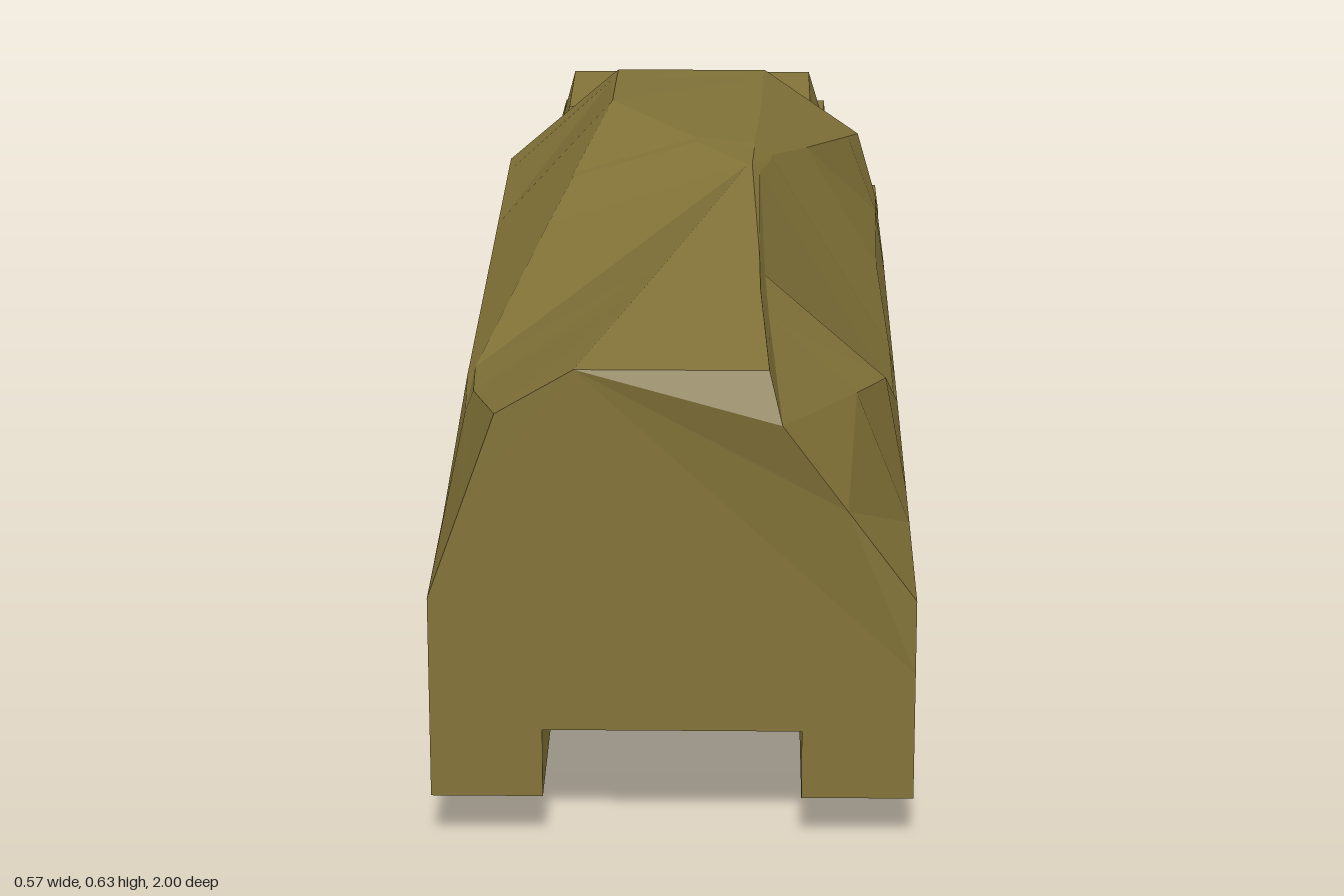
import * as THREE from 'three';

const olive = new THREE.MeshStandardMaterial({ color: 0x827338 });
olive.name = 'olive paint';

function addMesh(parent, name, geometry) {
  const g = geometry.index ? geometry.toNonIndexed() : geometry;
  g.computeVertexNormals(); // unshared corners give flat facets
  const mesh = new THREE.Mesh(g, olive);
  mesh.name = name;
  parent.add(mesh);
}

// Closed solid from rings of [x, y, dz], counter-clockwise seen from +z, z ascending
function loft(sections) {
  const pos = [], idx = [], n = sections[0].ring.length;
  for (const { z, ring } of sections) for (const [x, y, dz = 0] of ring) pos.push(x, y, z + dz);
  for (let s = 0; s < sections.length - 1; s++) {
    for (let j = 0; j < n; j++) {
      const a = s * n + j, b = s * n + (j + 1) % n;
      idx.push(a, b, b + n, a, b + n, a + n);
    }
  }
  const cap = (s, flip) => {
    const pts = sections[s].ring.map(([x, y]) => new THREE.Vector2(x, y));
    for (const [a, b, c] of THREE.ShapeUtils.triangulateShape(pts, [])) {
      const o = s * n;
      idx.push(o + a, o + (flip ? c : b), o + (flip ? b : c));
    }
  };
  cap(0, true);
  cap(sections.length - 1, false);
  const g = new THREE.BufferGeometry();
  g.setAttribute('position', new THREE.Float32BufferAttribute(pos, 3));
  g.setIndex(idx);
  return g;
}

// Side profile of [z, y] points, extruded between two x positions
function sideSlab(points, x0, x1) {
  const shape = new THREE.Shape(points.map(([z, y]) => new THREE.Vector2(z, y)));
  const g = new THREE.ExtrudeGeometry(shape, { depth: x1 - x0, bevelEnabled: false });
  return g.rotateY(-Math.PI / 2).translate(x1, 0, 0);
}

// Cargo body section: outer, inner-edge and centre floor heights, recess depth,
// then the upper corners going up the +x side and down the -x side
function bodySection(z, [outer, edge, centre], recess, upper) {
  const midY = recess ? 0.2 : Math.max(outer, 0.2) + 0.02;
  return {
    z,
    ring: [
      [-0.15, centre], [0.15, centre], [0.15, edge], [0.28, outer],
      [0.28 - recess, midY], [0.28, 0.285], [0.28, 0.31],
      ...upper, [-0.28, 0.31], [-0.28, outer], [-0.15, edge],
    ],
  };
}

// Cab section: floor height, belt line and top edge
function cabSection(z, floor, beltW, beltY, topW, topY) {
  return {
    z,
    ring: [[-beltW, floor], [beltW, floor], [beltW, beltY], [topW, topY], [-topW, topY], [-beltW, beltY]],
  };
}

export function createModel() {
  const truck = new THREE.Group();
  truck.name = 'truck';

  // Cargo body with faceted roof, wheel arches, tail notch and a side recess on +x
  const flat = [0.063, 0.063, 0.063];
  const shoulder = [[0.273, 0.342], [0.115, 0.607], [0.093, 0.624], [0.018, 0.63], [-0.143, 0.582], [-0.255, 0.455]];
  addMesh(truck, 'cargoBody', loft([
    bodySection(-0.315, flat, 0,
      [[0.268, 0.4], [0.241, 0.495], [0.108, 0.588], [-0.1, 0.588], [-0.11, 0.58], [-0.255, 0.455]]),
    bodySection(-0.25, flat, 0.08,
      [[0.266, 0.4], [0.225, 0.509], [0.106, 0.593], [-0.1, 0.597], [-0.108, 0.59], [-0.255, 0.455]]),
    bodySection(0, flat, 0.08,
      [[0.26, 0.4], [0.163, 0.565], [0.1, 0.61], [-0.098, 0.63], [-0.1, 0.628], [-0.255, 0.455]]),
    bodySection(0.18, flat, 0.08, shoulder),
    bodySection(0.181, flat, 0, shoulder),
    bodySection(0.2, flat, 0, shoulder),
    bodySection(0.3, [0.245, 0.18, 0.17], 0,
      [[0.275, 0.32], [0.1, 0.62], [0.09, 0.63], [0.085, 0.63], [-0.171, 0.549], [-0.255, 0.455]]),
    bodySection(0.62, [0.245, 0.18, 0.16], 0,
      [[0.253, 0.455], [0.106, 0.585], [0.099, 0.61], [-0.006, 0.61], [-0.245, 0.466], [-0.255, 0.455]]),
    bodySection(0.73, [0.063, 0.063, 0.147], 0,
      [[0.215, 0.475], [0.11, 0.57], [0.1, 0.604], [-0.038, 0.603], [-0.24, 0.475], [-0.25, 0.45]]),
    bodySection(0.975, [0.063, 0.063, 0.147], 0,
      [[0.2, 0.423, 0.01], [0.125, 0.53, 0.022], [0.11, 0.588], [-0.11, 0.588], [-0.2, 0.535], [-0.24, 0.422]]),
  ]));

  // Cab with windscreen slope and bonnet
  addMesh(truck, 'cab', loft([
    cabSection(-0.985, 0.2, 0.205, 0.31, 0.2, 0.345),
    cabSection(-0.975, 0.2, 0.21, 0.31, 0.205, 0.36),
    cabSection(-0.705, 0.165, 0.22, 0.335, 0.2, 0.395),
    cabSection(-0.62, 0.165, 0.22, 0.335, 0.175, 0.503),
    cabSection(-0.415, 0.165, 0.22, 0.335, 0.175, 0.505),
    cabSection(-0.385, 0.165, 0.22, 0.335, 0.21, 0.345),
  ]));

  // Chassis plate running from the cargo body under the cab
  addMesh(truck, 'chassis', new THREE.BoxGeometry(0.38, 0.01, 0.62).translate(0, 0.122, -0.62));

  // Wedge bumper and lower grille bar
  const bumper = [[-1, 0.15], [-0.975, 0.11], [-0.985, 0.15], [-0.975, 0.185]];
  addMesh(truck, 'bumper', sideSlab(bumper, -0.25, 0.25));
  addMesh(truck, 'grilleBar', new THREE.BoxGeometry(0.42, 0.02, 0.02).translate(0, 0.2, -0.975));

  // Paired wings and side tanks at the cab
  const wing = [[-0.97, 0.195], [-0.92, 0.18], [-0.8, 0.18], [-0.71, 0.13], [-0.67, 0.105],
    [-0.71, 0.2], [-0.76, 0.243], [-0.925, 0.235]];
  for (const side of [-1, 1]) {
    const label = side > 0 ? 'left' : 'right';
    addMesh(truck, label + 'Wing', sideSlab(wing, side > 0 ? 0.19 : -0.287, side > 0 ? 0.287 : -0.19));
    const tank = [[0.15, 0.07], [0.205, 0.07], [0.238, 0.135], [0.238, 0.165], [0.15, 0.165]]
      .map(([x, y]) => [side * x, y]);
    if (side < 0) tank.reverse();
    addMesh(truck, label + 'SideTank', loft([{ z: -0.635, ring: tank }, { z: -0.412, ring: tank }]));
  }

  // Remaining front wheel
  addMesh(truck, 'rightFrontWheel', sideSlab([[-0.93, 0.08], [-0.89, 0.002], [-0.77, 0.002],
    [-0.705, 0.1], [-0.76, 0.13], [-0.82, 0.17], [-0.91, 0.14]], -0.275, -0.19));

  // Broken tandem rear wheels
  addMesh(truck, 'leftMiddleWheel', sideSlab([[0.24, 0.12], [0.27, 0.1], [0.25, 0.035], [0.28, 0.002],
    [0.37, 0.002], [0.405, 0.02], [0.42, 0.09], [0.41, 0.165], [0.36, 0.19], [0.3, 0.18]], 0.145, 0.2));
  addMesh(truck, 'leftRearWheel', sideSlab([[0.68, 0.14], [0.68, 0.03], [0.64, 0.005], [0.53, 0.005],
    [0.63, 0.06], [0.57, 0.1], [0.43, 0.11], [0.62, 0.155]], 0.15, 0.255));
  addMesh(truck, 'rightMiddleWheel',
    sideSlab([[0.27, 0.002], [0.4, 0.002], [0.34, 0.2]], -0.275, -0.225));
  addMesh(truck, 'rightRearWheel',
    sideSlab([[0.47, 0.15], [0.64, 0.012], [0.67, 0.14]], -0.26, -0.145));

  return truck;
}
